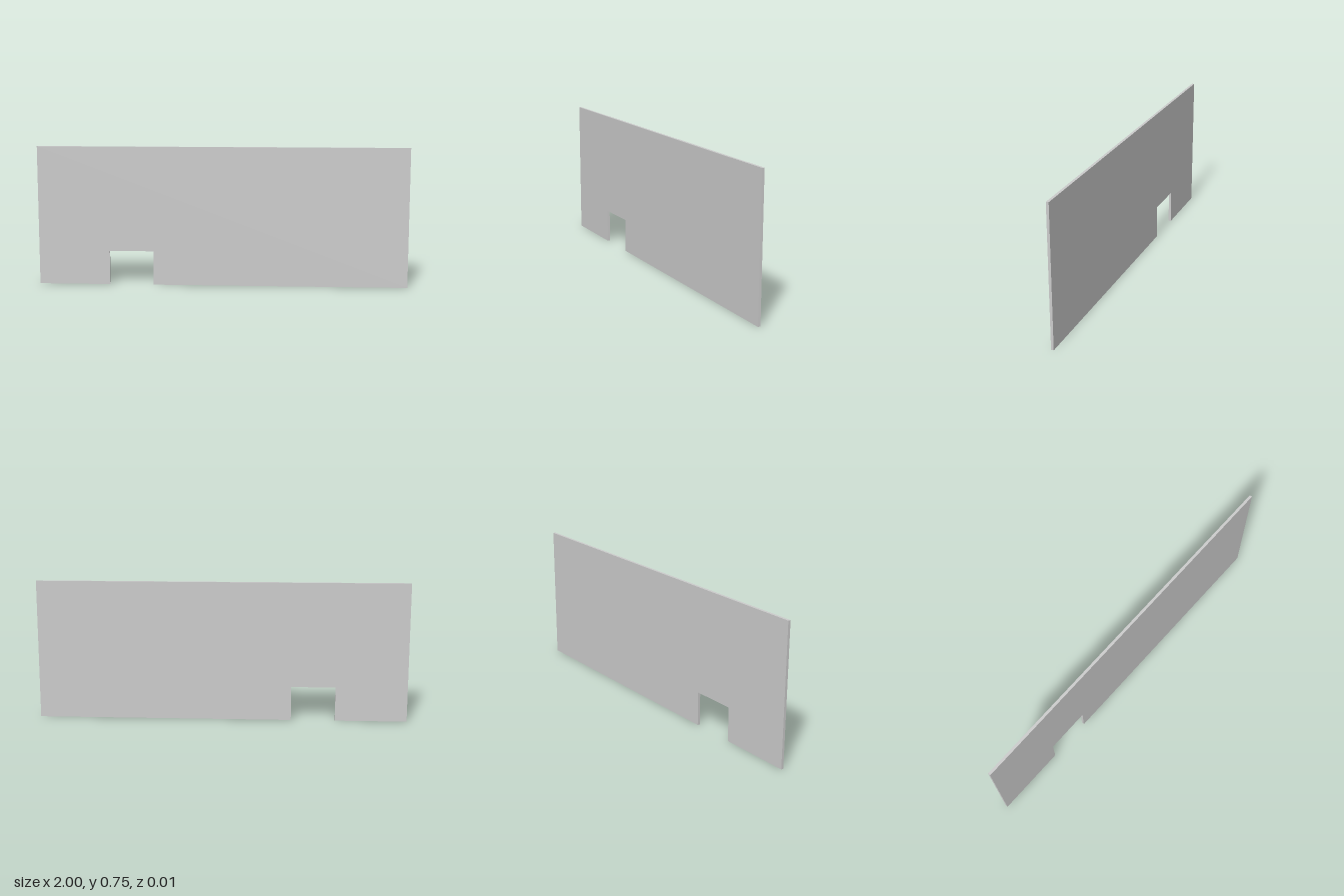
import * as THREE from 'three';

export function createModel() {
  const group = new THREE.Group();
  const height = 0.754, thickness = 0.014;
  const notch = { left: -0.613, right: -0.374, top: 0.185 };

  // Panel outline with a rectangular notch in the bottom edge
  const outline = new THREE.Shape([
    [-1, 0], [notch.left, 0], [notch.left, notch.top], [notch.right, notch.top],
    [notch.right, 0], [1, 0], [1, height], [-1, height],
  ].map(([x, y]) => new THREE.Vector2(x, y)));

  // Thin sheet, centred on z = 0
  const geometry = new THREE.ExtrudeGeometry(outline, { depth: thickness, bevelEnabled: false });
  geometry.translate(0, 0, -thickness / 2);

  const panel = new THREE.Mesh(geometry, new THREE.MeshStandardMaterial({ color: 0xcccccc }));
  panel.name = 'notchedPanel';
  group.add(panel);
  return group;
}
